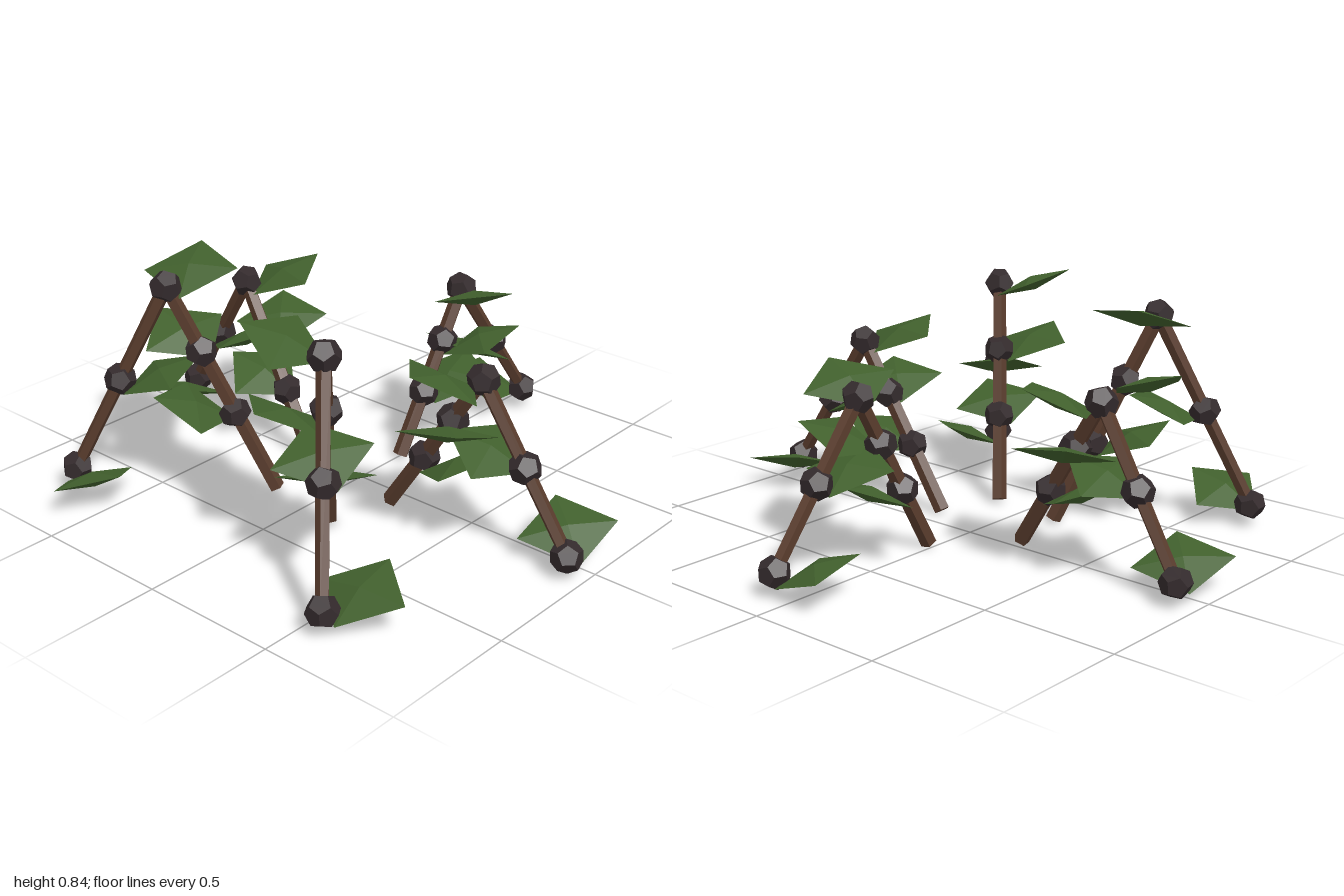
import * as THREE from 'three';

const bark = new THREE.MeshStandardMaterial({ color: 0x593c2d, flatShading: true, name: 'bark brown' });
const berryDark = new THREE.MeshStandardMaterial({ color: 0x342b2d, flatShading: true, name: 'berry black' });
const leafGreen = new THREE.MeshStandardMaterial({ color: 0x41602d, flatShading: true, name: 'leaf green' });

// Five-sided cane running between two points
function cane(name, from, to, r0, r1) {
  const dir = to.clone().sub(from);
  const mesh = new THREE.Mesh(new THREE.CylinderGeometry(r1, r0, dir.length(), 5), bark);
  mesh.name = name;
  mesh.position.copy(from).add(to).multiplyScalar(0.5);
  mesh.quaternion.setFromUnitVectors(new THREE.Vector3(0, 1, 0), dir.normalize());
  return mesh;
}

// Each arch: base x, base z, heading in degrees, reach to apex, apex height, reach to tip
const ARCHES = [
  { x: -0.08, z: 0.205, heading: 90, apexReach: 0.383, apexY: 0.59, reach: 0.735 },
  { x: 0.20, z: 0.015, heading: 5.5, apexReach: 0.30, apexY: 0.59, reach: 0.655 },
  { x: -0.03, z: -0.21, heading: -81, apexReach: 0.38, apexY: 0.59, reach: 0.727 },
  { x: -0.275, z: -0.155, heading: -129, apexReach: 0.355, apexY: 0.765, reach: 0.70 },
  { x: -0.31, z: 0.13, heading: 139.4, apexReach: 0.335, apexY: 0.765, reach: 0.68 },
];

export function createModel() {
  const model = new THREE.Group();
  model.name = 'brambleRing';

  const berryGeo = new THREE.DodecahedronGeometry(0.057);

  // Flat faceted leaf that rises outward from its berry
  const leafGeo = new THREE.OctahedronGeometry(1);
  leafGeo.scale(0.148, 0.026, 0.17);
  leafGeo.rotateY(0.3);
  leafGeo.rotateZ(0.4);
  leafGeo.translate(0.143, 0.015, 0);

  ARCHES.forEach((a, n) => {
    const arch = new THREE.Group();
    arch.name = `brambleArch${n + 1}`;
    arch.position.set(a.x, 0, a.z);
    arch.rotation.y = -THREE.MathUtils.degToRad(a.heading);

    // Rising and drooping canes, in the arch's own vertical plane
    const base = new THREE.Vector3(0, 0.015, 0);
    const apex = new THREE.Vector3(a.apexReach, a.apexY, 0);
    const tip = new THREE.Vector3(a.reach, 0.08, 0);
    arch.add(cane('risingCane', base, apex, 0.029, 0.026));
    arch.add(cane('droopingCane', apex, tip, 0.026, 0.023));

    // Berries along the canes, leaves spiralling round by a sixth turn
    const nodes = [
      base.clone().lerp(apex, 0.385),
      base.clone().lerp(apex, 0.69),
      apex,
      apex.clone().lerp(tip, 0.5),
      tip,
    ];
    nodes.forEach((p, i) => {
      const berry = new THREE.Mesh(berryGeo, berryDark);
      berry.name = 'berry';
      berry.position.copy(p);
      berry.rotation.set(i * 0.8, n + i, 0);
      const leaf = new THREE.Mesh(leafGeo, leafGreen);
      leaf.name = 'leaf';
      leaf.position.copy(p);
      leaf.rotation.y = -i * THREE.MathUtils.degToRad(59);
      arch.add(berry, leaf);
    });
    model.add(arch);
  });
  return model;
}
